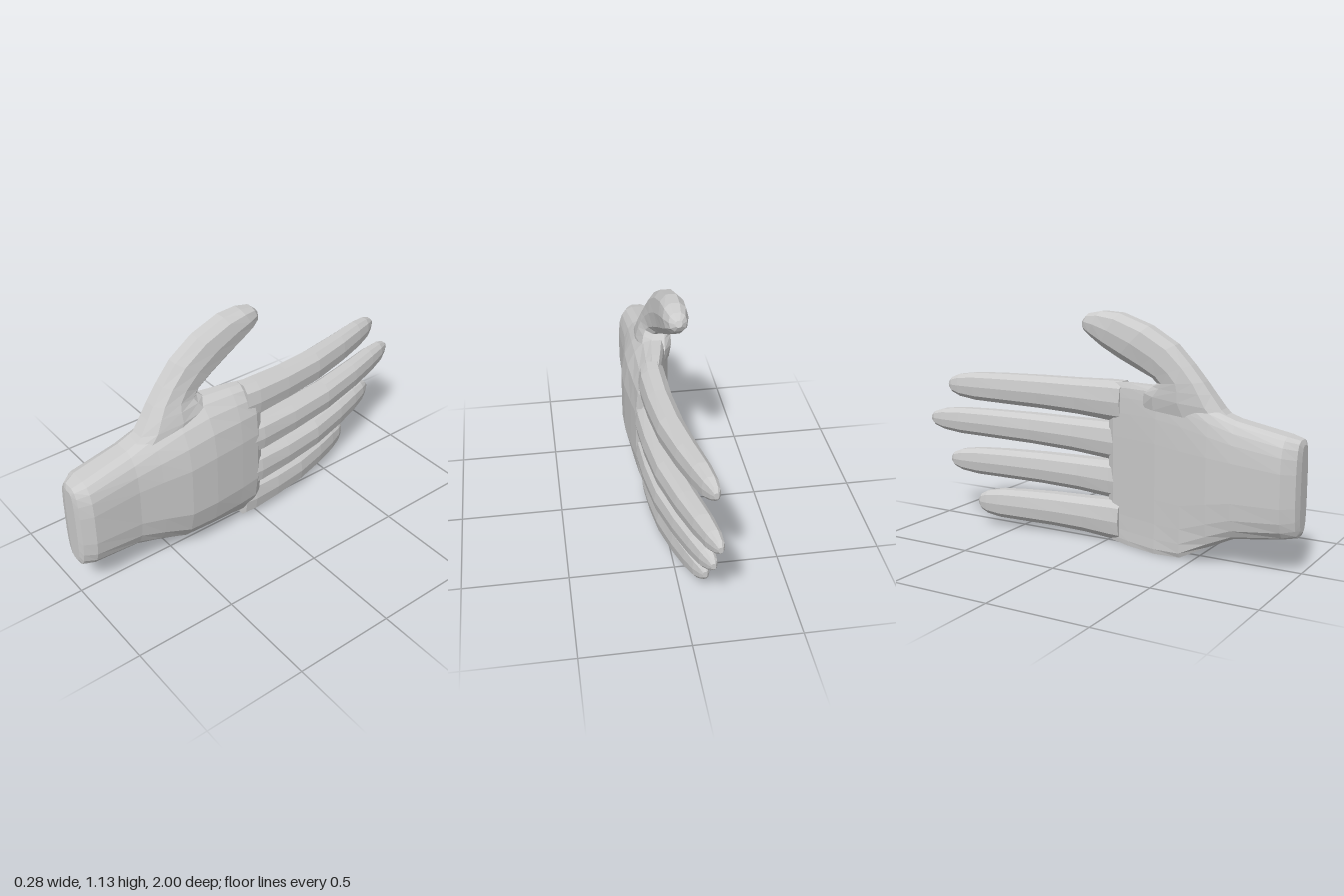
import * as THREE from 'three';

const material = new THREE.MeshStandardMaterial({ color: 0xcccccc, flatShading: true });

// Skin rings into a closed tube. Each station gives its two edge points and its thickness:
// [zA, yA, zB, yB, xCentre, halfThickness, bow]; bow thins the edges and pulls them towards -x.
function loft(name, stations, sides, squareness) {
  const pos = [], index = [];
  const bend = (c) => Math.sign(c) * Math.pow(Math.abs(c), 2 / squareness);
  for (const [zA, yA, zB, yB, x, h, bow = 0] of stations) {
    for (let j = 0; j < sides; j++) {
      const a = ((j + 0.5) / sides) * Math.PI * 2;
      const v = bend(Math.cos(a)), w = bend(Math.sin(a));
      const pull = bow * v ** 4 * (v < 0 ? 1 : 0.6);
      pos.push(
        x + w * (h - pull * 0.6) - pull,
        (yA + yB) / 2 + (v * (yA - yB)) / 2,
        (zA + zB) / 2 + (v * (zA - zB)) / 2
      );
    }
  }
  const last = stations.length - 1;
  for (let i = 0; i < last; i++) {
    for (let j = 0; j < sides; j++) {
      const k = (j + 1) % sides;
      const a = i * sides + j, b = i * sides + k;
      index.push(a, b, b + sides, a, b + sides, a + sides);
    }
  }
  // End caps
  for (const i of [0, last]) {
    const [zA, yA, zB, yB, x] = stations[i];
    const centre = pos.length / 3;
    pos.push(x, (yA + yB) / 2, (zA + zB) / 2);
    for (let j = 0; j < sides; j++) {
      const a = i * sides + j, b = i * sides + ((j + 1) % sides);
      if (i === 0) index.push(centre, b, a);
      else index.push(centre, a, b);
    }
  }
  const geometry = new THREE.BufferGeometry();
  geometry.setAttribute('position', new THREE.Float32BufferAttribute(pos, 3));
  geometry.setIndex(index);
  geometry.computeVertexNormals();
  const mesh = new THREE.Mesh(geometry, material);
  mesh.name = name;
  return mesh;
}

// Finger shape along its length: [t, curl towards the tip, half thickness, width factor]
const fingerShape = [
  [0, 0, 0.064, 1.04],
  [0.075, -0.02, 0.068, 1.05],
  [0.26, 0.02, 0.066, 1],
  [0.48, 0.17, 0.064, 1.01],
  [0.695, 0.47, 0.057, 1.03],
  [0.845, 0.73, 0.049, 1.02],
  [0.935, 0.89, 0.038, 0.86],
  [0.98, 0.98, 0.024, 0.58],
  [1, 1, 0.011, 0.25],
];

function finger([name, tipZ, baseTop, baseBottom, tipTop, tipBottom, baseX]) {
  const startZ = 0.08, tipX = -0.108;
  const stations = fingerShape.map(([t, curl, h, width]) => {
    const z = THREE.MathUtils.lerp(startZ, tipZ, t);
    const top = THREE.MathUtils.lerp(baseTop, tipTop, t);
    const bottom = THREE.MathUtils.lerp(baseBottom, tipBottom, t);
    const mid = (top + bottom) / 2, half = ((top - bottom) / 2) * width;
    return [z, mid + half, z, mid - half, THREE.MathUtils.lerp(baseX, tipX, curl), h];
  });
  return loft(name, stations, 10, 2.5);
}

export function createModel() {
  const hand = new THREE.Group();
  hand.name = 'hand';

  // Wrist and palm, ending at the webs between the fingers
  hand.add(loft('palm', [
    [1, 0.595, 1, 0.198, -0.01, 0.04],
    [0.99, 0.618, 0.99, 0.176, -0.015, 0.075],
    [0.935, 0.634, 0.935, 0.168, -0.024, 0.115],
    [0.7, 0.682, 0.7, 0.135, -0.022, 0.116, 0.02],
    [0.58, 0.725, 0.58, 0.08, -0.01, 0.122, 0.05],
    [0.44, 0.775, 0.44, 0.008, 0.012, 0.123, 0.09],
    [0.3, 0.8, 0.3, 0, 0.025, 0.112, 0.095],
    [0.14, 0.8, 0.14, 0.003, 0.038, 0.085, 0.075],
    [0.04, 0.797, 0.04, 0.01, 0.044, 0.066, 0.055],
    [0.005, 0.785, 0.005, 0.025, 0.044, 0.045, 0.045],
  ], 20, 3.4));

  // Thumb, growing out of the palm's upper edge
  hand.add(loft('thumb', [
    [0.7, 0.655, 0.2, 0.7, -0.022, 0.084],
    [0.63, 0.72, 0.22, 0.765, -0.03, 0.088],
    [0.58, 0.785, 0.27, 0.8, -0.038, 0.082],
    [0.54, 0.84, 0.296, 0.818, -0.045, 0.076],
    [0.48, 0.915, 0.275, 0.84, -0.052, 0.071],
    [0.4, 1.003, 0.2, 0.875, -0.06, 0.068],
    [0.27, 1.083, 0.11, 0.92, -0.07, 0.068],
    [0.12, 1.135, 0.02, 0.97, -0.074, 0.066],
    [0.02, 1.14, -0.045, 1.015, -0.075, 0.06],
    [-0.05, 1.126, -0.08, 1.043, -0.077, 0.043],
    [-0.08, 1.1, -0.093, 1.07, -0.078, 0.016],
  ], 10, 2.4));

  // Fingers: name, tip z, base edges, tip edges, base x
  [
    ['indexFinger', -0.88, 0.798, 0.6, 0.792, 0.66, 0.024],
    ['middleFinger', -1, 0.588, 0.402, 0.603, 0.478, 0.045],
    ['ringFinger', -0.875, 0.398, 0.21, 0.4, 0.272, 0.042],
    ['littleFinger', -0.705, 0.21, 0.012, 0.2, 0.06, 0.012],
  ].forEach((row) => hand.add(finger(row)));

  return hand;
}
